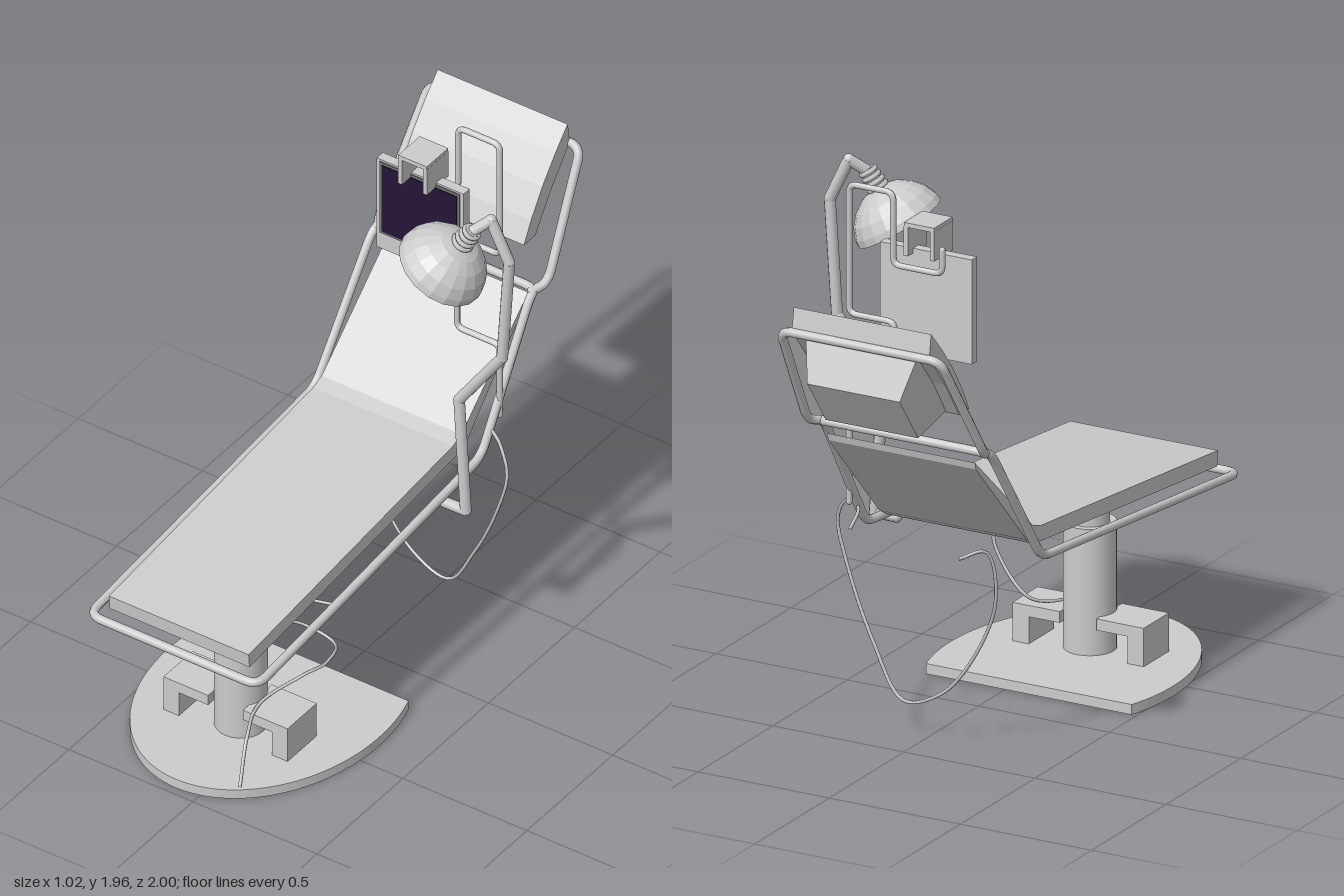
import * as THREE from 'three';

const CX = -0.09; // centre line of the couch
const V = (x, y, z) => new THREE.Vector3(x, y, z);

export function createModel() {
  const root = new THREE.Group();
  const grey = new THREE.MeshStandardMaterial({ color: 0xcccccc });
  const flat = new THREE.MeshStandardMaterial({ color: 0xcccccc, flatShading: true });
  const thin = new THREE.MeshStandardMaterial({ color: 0xcccccc, flatShading: true, side: THREE.DoubleSide });
  const dark = new THREE.MeshStandardMaterial({ color: 0x241536 });
  const frameDark = new THREE.MeshStandardMaterial({ color: 0x777777 });

  const add = (name, geo, mat = flat, pos = [0, 0, 0], parent = root) => {
    const m = new THREE.Mesh(geo, mat);
    m.name = name;
    m.position.set(...pos);
    parent.add(m);
    return m;
  };
  const box = (name, w, h, d, pos, mat, parent) => add(name, new THREE.BoxGeometry(w, h, d), mat, pos, parent);

  // Bent tube: straight runs joined by rounded corners
  const bentTube = (name, pts, r, bend, segs = 160) => {
    const path = new THREE.CurvePath();
    let from = pts[0];
    for (let i = 1; i < pts.length - 1; i++) {
      const p = pts[i], a = pts[i - 1], b = pts[i + 1];
      const toward = q => p.clone().add(q.clone().sub(p).setLength(Math.min(bend, p.distanceTo(q) * 0.45)));
      const s = toward(a), e = toward(b);
      path.add(new THREE.LineCurve3(from, s));
      path.add(new THREE.QuadraticBezierCurve3(s, p, e));
      from = e;
    }
    path.add(new THREE.LineCurve3(from, pts[pts.length - 1]));
    add(name, new THREE.TubeGeometry(path, segs, r, 8), grey);
    for (const end of [pts[0], pts[pts.length - 1]])
      add(name + 'End', new THREE.SphereGeometry(r, 8, 6), grey, end.toArray());
  };
  const cable = (name, pts) => add(name,
    new THREE.TubeGeometry(new THREE.CatmullRomCurve3(pts), 90, 0.006, 6), grey);
  // Straight rod between two points
  const rod = (name, a, b, r0, r1 = r0, sides = 10) => {
    const m = add(name, new THREE.CylinderGeometry(r1, r0, a.distanceTo(b), sides), grey,
      a.clone().add(b).multiplyScalar(0.5).toArray());
    m.quaternion.setFromUnitVectors(V(0, 1, 0), b.clone().sub(a).normalize());
  };
  // Side profile of (z, y) points swept across x
  const sideExtrude = (name, profile, x0, x1, parent = root) => {
    const shape = new THREE.Shape(profile.map(([z, y]) => new THREE.Vector2(-z, y)));
    const g = new THREE.ExtrudeGeometry(shape, { depth: x1 - x0, bevelEnabled: false });
    g.rotateY(Math.PI / 2).translate(x0, 0, 0);
    return add(name, g, flat, [0, 0, 0], parent);
  };

  // Base plate: ellipse cut straight at the back
  const plate = new THREE.Shape();
  const cut = Math.asin(0.22 / 0.57);
  plate.absellipse(CX, -0.4, 0.425, 0.57, cut, Math.PI - cut, true);
  const plateGeo = new THREE.ExtrudeGeometry(plate, { depth: 0.036, bevelEnabled: false, curveSegments: 28 });
  add('basePlate', plateGeo.rotateX(-Math.PI / 2));

  // Telescopic column with a foot bracket on each side
  add('lowerColumn', new THREE.CylinderGeometry(0.09, 0.09, 0.45, 24), grey, [CX, 0.258, 0.59]);
  add('upperColumn', new THREE.CylinderGeometry(0.067, 0.067, 0.17, 24), grey, [CX, 0.55, 0.59]);
  for (const s of [-1, 1]) {
    box('bracketArm', 0.18, 0.04, 0.17, [CX + s * 0.16, 0.152, 0.595]);
    box('bracketLeg', 0.062, 0.11, 0.17, [CX + s * 0.219, 0.09, 0.595]);
  }

  // Seat and backrest pad
  sideExtrude('couchPad', [[0.95, 0.665], [-0.24, 0.786], [-0.29, 0.803], [-0.68, 1.152],
    [-0.672, 1.125], [-0.33, 0.765], [-0.28, 0.735], [0.945, 0.61]], -0.373, 0.19);

  // Tubular couch frame
  const half = [[0.34, 0.585, 0.985], [0.335, 0.713, -0.325], [0.318, 1.17, -0.63], [0.315, 1.19, -0.67]];
  const side = s => half.map(([x, y, z]) => V(CX + s * x, y, z));
  bentTube('couchFrame', [V(CX, 0.585, 0.985), ...side(1), ...side(-1).reverse(), V(CX, 0.585, 0.985)], 0.016, 0.05, 300);

  // Headrest frame
  const headHalf = [[0.31, 1.185, -0.655], [0.338, 1.2, -0.71], [0.305, 1.6, -0.95]];
  const headSide = s => headHalf.map(([x, y, z]) => V(CX + s * x, y, z));
  bentTube('headrestFrame', [...headSide(-1), ...headSide(1).reverse()], 0.016, 0.05, 200);

  // Headrest: curved pad with a tapered block behind it
  const head = new THREE.Group();
  head.name = 'headrest';
  head.position.set(CX, 1.5, -0.81);
  head.rotation.x = -0.636;
  root.add(head);
  sideExtrude('headPad', [[0.009, -0.206], [0.022, -0.12], [0.028, 0], [0.022, 0.12], [0.009, 0.223],
    [-0.05, 0.165], [-0.04, 0], [-0.045, -0.167]], -0.262, 0.262, head);
  const block = new THREE.BoxGeometry(0.43, 0.32, 0.14);
  const bp = block.attributes.position;
  for (let i = 0; i < bp.count; i++) {
    if (bp.getZ(i) < 0) bp.setXY(i, bp.getX(i) * 0.82, bp.getY(i) * 0.65 - 0.035);
  }
  add('headBlock', block, flat, [0, 0, -0.11], head);

  // Bent pole carrying the monitor
  bentTube('monitorPole', [[-0.11, 1.775], [-0.11, 1.69], [0.077, 1.69], [0.077, 1.945], [0.245, 1.945],
    [0.245, 1.487], [0.072, 1.487], [0.072, 1.11], [0.245, 1.11], [0.245, 0.82]]
    .map(([x, y]) => V(x, y, -0.435)), 0.011, 0.03, 320);

  // Monitor and the channel clamp over it
  box('monitorBody', 0.35, 0.37, 0.036, [-0.025, 1.56, -0.378]);
  box('screenBezel', 0.322, 0.296, 0.006, [-0.025, 1.59, -0.359], frameDark);
  box('screen', 0.302, 0.276, 0.006, [-0.025, 1.59, -0.356], dark);
  box('clampTop', 0.115, 0.016, 0.125, [-0.018, 1.837, -0.368]);
  for (const s of [-1, 1]) box('clampSide', 0.016, 0.105, 0.125, [-0.018 + s * 0.05, 1.78, -0.368]);

  // Jointed lamp arm
  const arm = [V(0.25, 0.66, -0.11), V(0.332, 0.662, -0.11), V(0.295, 1.1, -0.125), V(0.465, 1.345, -0.13),
    V(0.49, 1.75, -0.135), V(0.42, 1.9, -0.13), V(0.375, 1.86, -0.095)];
  arm.forEach((p, i) => {
    add('lampJoint', new THREE.SphereGeometry(0.02, 10, 8), grey, p.toArray());
    if (i) rod('lampArm', arm[i - 1], p, 0.02);
  });

  // Lamp head: open dome with a ribbed neck
  const lamp = new THREE.Group();
  lamp.name = 'lampHead';
  lamp.position.set(0.265, 1.68, -0.062);
  lamp.quaternion.setFromUnitVectors(V(0, 1, 0), V(0.51, 0.85, -0.13).normalize());
  root.add(lamp);
  const dome = [[0.16, 0], [0.157, 0.025], [0.14, 0.065], [0.11, 0.1], [0.07, 0.128], [0.032, 0.14]];
  const inner = dome.map(([r, y]) => [r - 0.007, Math.max(y - 0.007, 0)]).reverse();
  add('lampShade', new THREE.LatheGeometry([...inner, ...dome].map(p => new THREE.Vector2(...p)), 18), thin, [0, 0, 0], lamp);
  add('lampNeck', new THREE.CylinderGeometry(0.026, 0.032, 0.085, 14), grey, [0, 0.172, 0], lamp);
  for (let i = 0; i < 4; i++) {
    add('neckRing', new THREE.TorusGeometry(0.032 - i * 0.002, 0.009, 6, 16).rotateX(Math.PI / 2), grey,
      [0, 0.145 + i * 0.02, 0], lamp);
  }

  // Loose cables
  cable('hangingCable', [V(0.19, 0.76, -0.53), V(0.23, 0.79, -0.4), V(0.31, 0.785, -0.34), V(0.36, 0.7, -0.31),
    V(0.32, 0.53, -0.31), V(0.215, 0.3, -0.33), V(0.09, 0.12, -0.35), V(-0.06, 0.17, -0.36),
    V(-0.19, 0.32, -0.375), V(-0.29, 0.55, -0.395), V(-0.28, 0.74, -0.44), V(-0.22, 0.73, -0.52)]);
  cable('baseCable', [V(0.2, 0.555, 0.44), V(0.08, 0.57, 0.5), V(0, 0.59, 0.58), V(0.03, 0.53, 0.59),
    V(0.1, 0.47, 0.5), V(0.21, 0.42, 0.475), V(0.17, 0.32, 0.465), V(0.07, 0.22, 0.465),
    V(0.01, 0.18, 0.62), V(0.08, 0.18, 0.8), V(0.12, 0.05, 0.9)]);

  return root;
}
